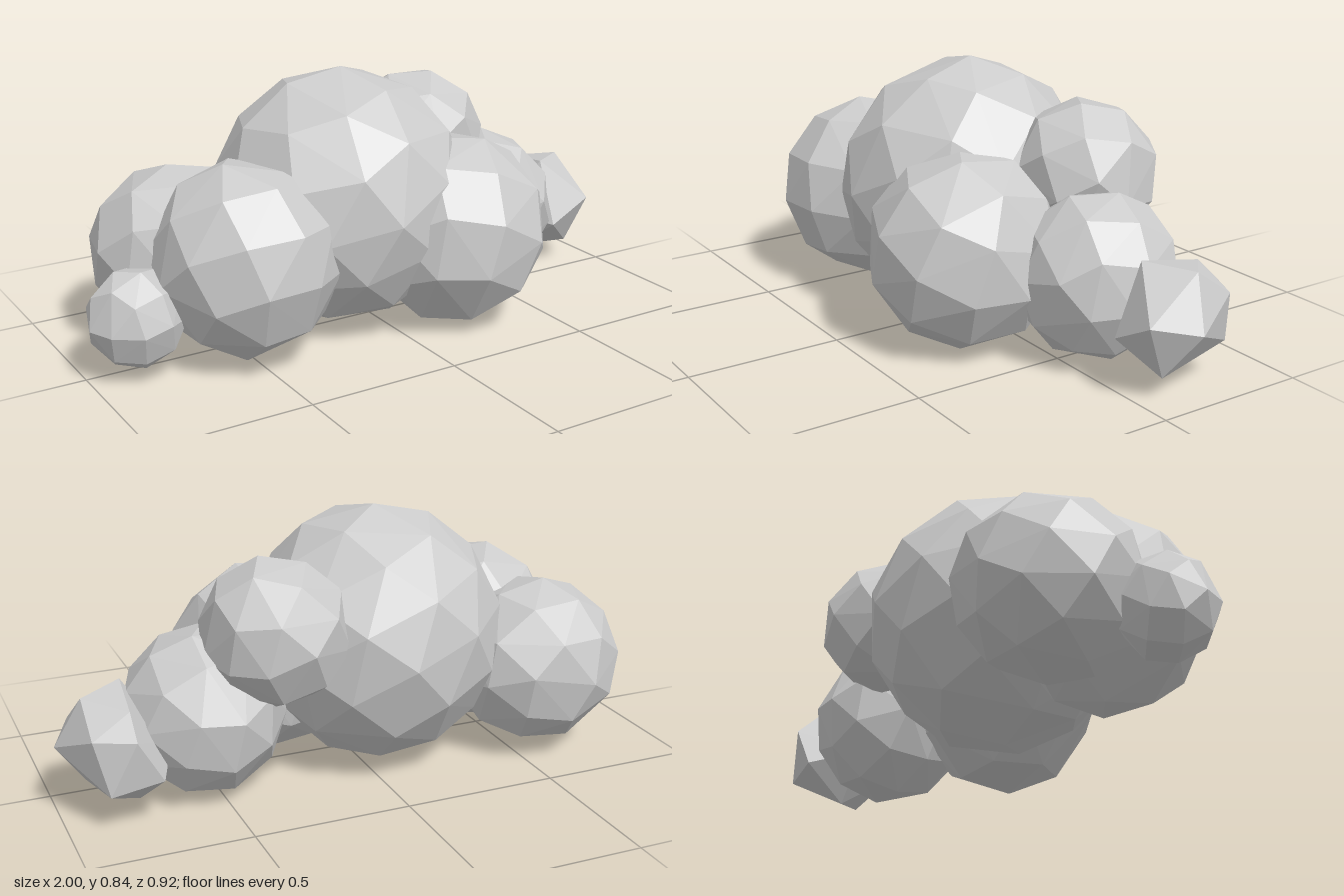
import * as THREE from 'three';
import { ConvexGeometry } from 'three/addons/geometries/ConvexGeometry.js';

// Each puff: name, min corner, max corner, number of corners, tilt
const PUFFS = [
  ['mainPuff', [-0.485, 0.005, -0.465], [0.325, 0.845, 0.375], 54, 0.4],
  ['frontLeftPuff', [-0.795, 0.015, -0.21], [-0.2, 0.63, 0.385], 40, 1.1],
  ['backLeftPuff', [-0.885, 0.015, -0.46], [-0.32, 0.57, 0.1], 42, 2.0],
  ['farLeftPuff', [-1.0, 0.03, -0.11], [-0.69, 0.34, 0.19], 32, 2.7],
  ['frontRightPuff', [-0.07, 0.0, -0.15], [0.53, 0.62, 0.46], 38, 3.5],
  ['upperRightPuff', [0.09, 0.29, -0.46], [0.555, 0.755, 0.01], 34, 4.3],
  ['rightPuff', [0.275, 0.005, -0.37], [0.785, 0.525, 0.14], 40, 5.2],
];

// Corners of the coarse end puff, which comes to a point on its outer side
const END_PUFF = [
  [1, 0.22, -0.13], [0.92, 0.38, -0.17], [0.93, 0.25, 0.01], [0.9, 0.07, -0.07],
  [0.92, 0.29, -0.3], [0.88, 0.12, -0.33], [0.78, 0.39, -0.08], [0.8, 0.36, -0.28],
  [0.8, 0.29, -0.355], [0.76, 0.035, -0.19], [0.78, 0.17, 0.01], [0.72, 0.15, -0.34],
  [0.65, 0.2, -0.17],
];

// Faceted ball: hull of points spiralling round a sphere, tilted and fitted to a size
function puffGeometry(size, corners, tilt) {
  const points = [];
  for (let i = 0; i < corners; i++) {
    const polar = Math.acos(1 - (2 * i + 1) / corners);
    const turn = i * Math.PI * (3 - Math.sqrt(5));
    points.push(new THREE.Vector3().setFromSphericalCoords(1, polar, turn));
  }
  const geo = new ConvexGeometry(points);
  geo.rotateX(tilt).rotateY(tilt * 1.7).rotateZ(tilt * 0.6);
  geo.center();
  const fitted = geo.boundingBox.getSize(new THREE.Vector3());
  geo.scale(size[0] / fitted.x, size[1] / fitted.y, size[2] / fitted.z);
  return geo;
}

export function createModel() {
  const cloud = new THREE.Group();
  cloud.name = 'cloud';
  const material = new THREE.MeshStandardMaterial({ color: 0xcccccc, flatShading: true });
  for (const [name, min, max, corners, tilt] of PUFFS) {
    const size = max.map((m, i) => m - min[i]);
    const puff = new THREE.Mesh(puffGeometry(size, corners, tilt), material);
    puff.name = name;
    puff.position.set(...min.map((m, i) => m + size[i] / 2));
    cloud.add(puff);
  }
  const endPuff = new THREE.Mesh(new ConvexGeometry(END_PUFF.map((p) => new THREE.Vector3(...p))), material);
  endPuff.name = 'farRightPuff';
  cloud.add(endPuff);
  return cloud;
}
